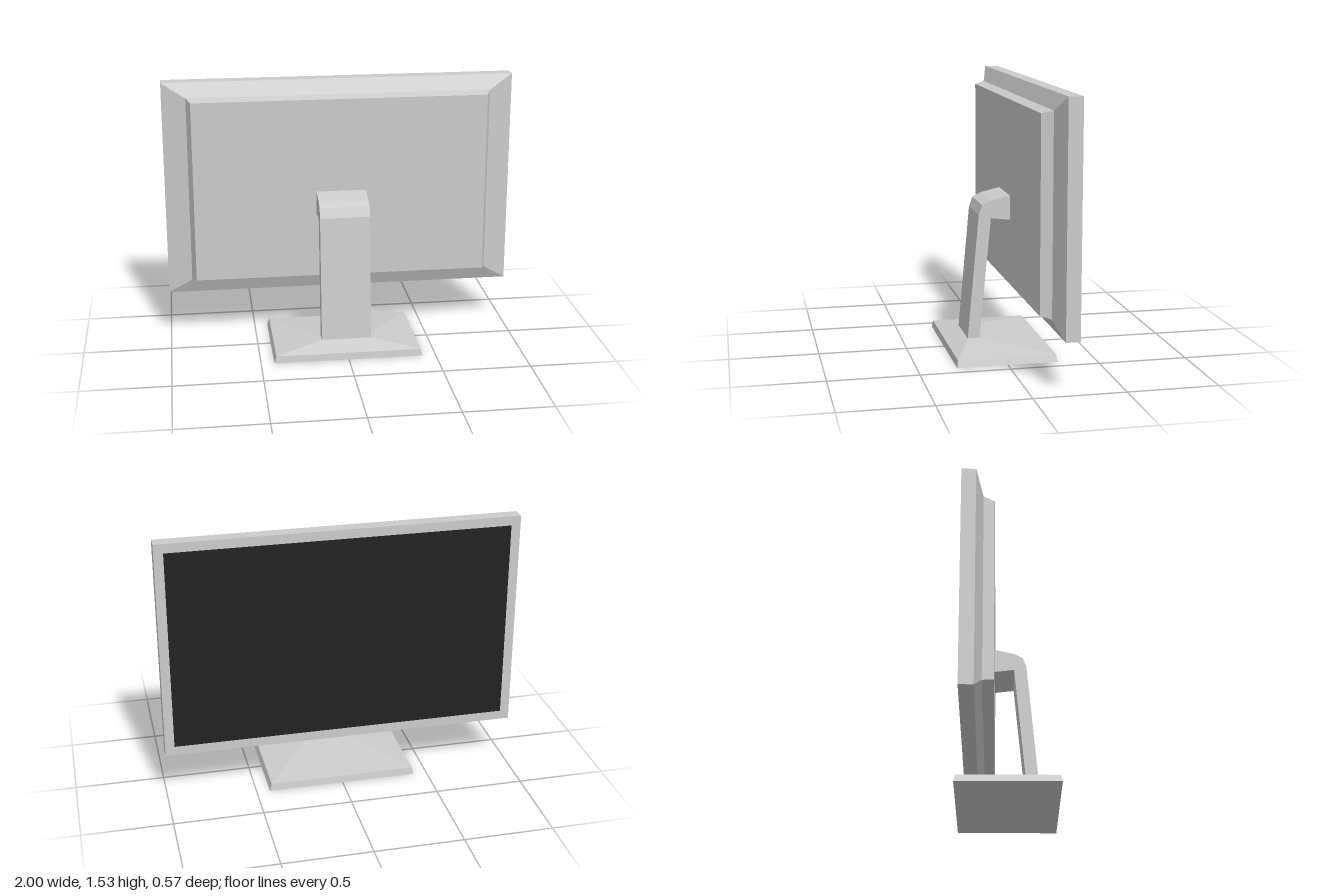
import * as THREE from 'three';

const grey = new THREE.MeshStandardMaterial({ color: 0xcccccc, flatShading: true });
const black = new THREE.MeshStandardMaterial({ color: 0x222222, flatShading: true });

// Joins four-cornered rings into a faceted solid; corners run counter-clockwise seen from the last ring.
function loft(rings, capStart = true, capEnd = true) {
  const pos = [];
  const quad = (a, b, c, d) => pos.push(...a, ...b, ...c, ...a, ...c, ...d);
  for (let i = 0; i < rings.length - 1; i++) {
    for (let j = 0; j < 4; j++) {
      const k = (j + 1) % 4;
      quad(rings[i][j], rings[i][k], rings[i + 1][k], rings[i + 1][j]);
    }
  }
  if (capStart) quad(...[...rings[0]].reverse());
  if (capEnd) quad(...rings[rings.length - 1]);
  const geometry = new THREE.BufferGeometry();
  geometry.setAttribute('position', new THREE.Float32BufferAttribute(pos, 3));
  geometry.computeVertexNormals();
  return geometry;
}

// Rectangular sections, symmetric in x
const ringAtZ = (z, w, y0, y1) => [[-w, y0, z], [w, y0, z], [w, y1, z], [-w, y1, z]];
const ringAtY = (y, w, z0, z1) => [[-w, y, z1], [w, y, z1], [w, y, z0], [-w, y, z0]];

function rectangle(PathType, w, y0, y1) {
  return new PathType([[-w, y0], [w, y0], [w, y1], [-w, y1]].map(p => new THREE.Vector2(...p)));
}

export function createModel() {
  const model = new THREE.Group();
  model.name = 'monitor';
  const add = (name, geometry, material = grey) => {
    const mesh = new THREE.Mesh(geometry, material);
    mesh.name = name;
    model.add(mesh);
  };

  const W = 1, BOTTOM = 0.283, TOP = 1.53, RIM = 0.052, SCREEN_Z = -0.248;

  // Housing: straight rim, sloping shoulder and raised panel; the screen side stays open
  add('housing', loft([
    ringAtZ(SCREEN_Z, W, BOTTOM, TOP),
    ringAtZ(-0.17, W, BOTTOM, TOP),
    ringAtZ(-0.132, 0.865, 0.37, 1.447),
    ringAtZ(-0.073, 0.84, 0.385, 1.432),
  ], false, true));

  // Bezel around the screen, facing -z
  const bezel = rectangle(THREE.Shape, W, BOTTOM, TOP);
  bezel.holes.push(rectangle(THREE.Path, W - RIM, BOTTOM + RIM, TOP - RIM));
  add('bezel', new THREE.ShapeGeometry(bezel).rotateY(Math.PI).translate(0, 0, SCREEN_Z));

  // Screen, flush with the bezel
  const screen = rectangle(THREE.Shape, W - RIM, BOTTOM + RIM, TOP - RIM);
  add('screen', new THREE.ShapeGeometry(screen).rotateY(Math.PI).translate(0, 0, SCREEN_Z), black);

  // Stand arm: side profile as (z, y), extruded across x
  const armHalf = 0.142;
  const profile = new THREE.Shape([
    [0.17, 0.08], [0.105, 0.79], [0.085, 0.845], [0.035, 0.87],
    [-0.073, 0.895], [-0.073, 0.757], [0.036, 0.77], [0.102, 0.08],
  ].map(p => new THREE.Vector2(...p)));
  add('standArm', new THREE.ExtrudeGeometry(profile, { depth: armHalf * 2, bevelEnabled: false })
    .rotateY(-Math.PI / 2).translate(armHalf, 0, 0));

  // Base: low plinth sloping up to the foot of the arm
  add('base', loft([
    ringAtY(0, 0.425, -0.283, 0.283),
    ringAtY(0.04, 0.413, -0.275, 0.277),
    ringAtY(0.08, armHalf, 0.102, 0.17),
  ]));

  return model;
}
